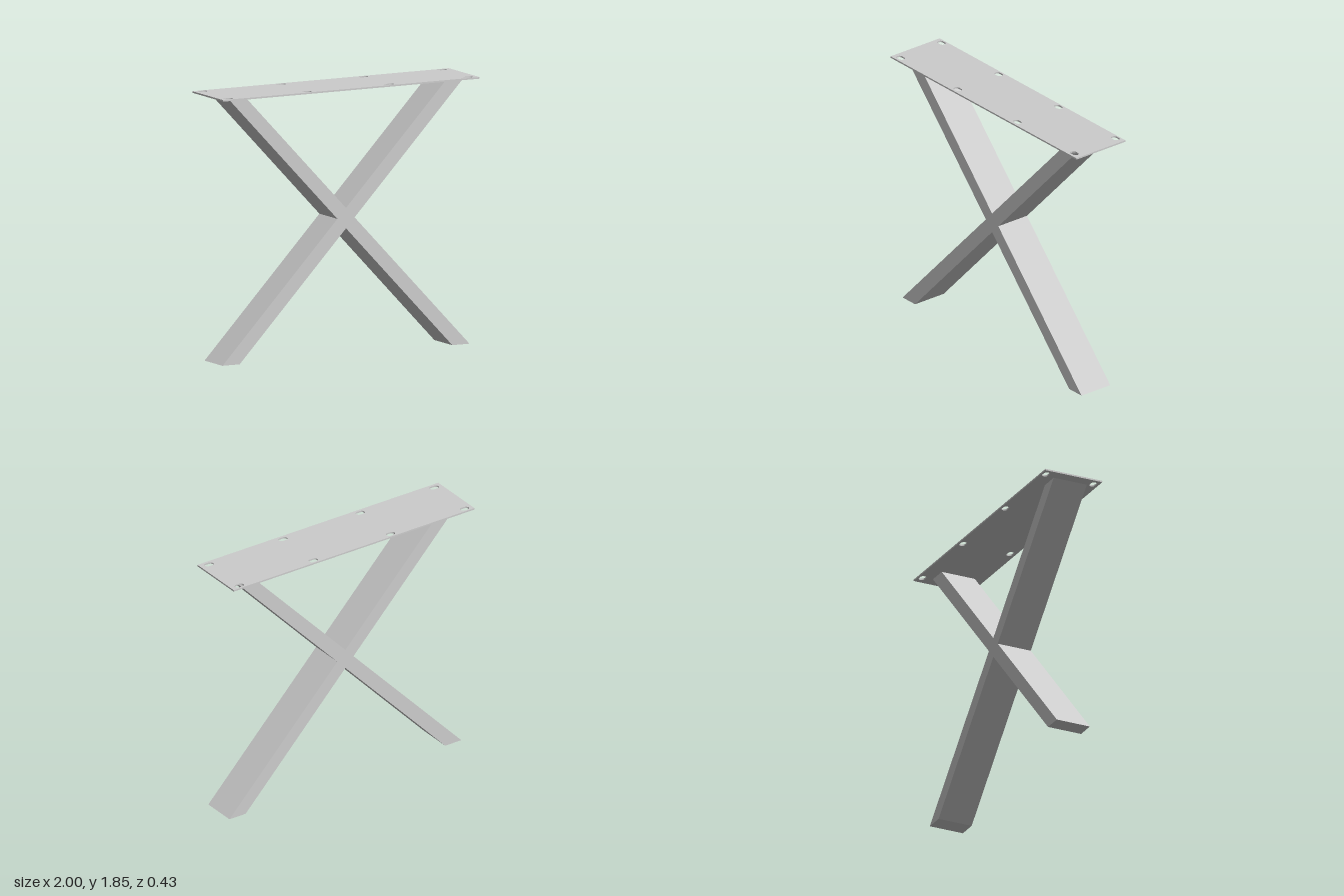
import * as THREE from 'three';

const material = new THREE.MeshStandardMaterial({ color: 0xcccccc, flatShading: true });

const HEIGHT = 1.848, PLATE = 0.011, TOP = HEIGHT - PLATE;
const OUTER = 0.963, INNER = 0.829;   // foot corners of each bar
const LEAN = 1.745;                   // sideways travel of a bar from floor to plate
const BACK = -0.112, DEPTH = 0.252;   // bar extent along z

// Bar with a four-sided outline in the xy plane
function bar(name, corners) {
  const shape = new THREE.Shape(corners.map(([x, y]) => new THREE.Vector2(x, y)));
  const geometry = new THREE.ExtrudeGeometry(shape, { depth: DEPTH, bevelEnabled: false });
  geometry.translate(0, 0, BACK);
  const mesh = new THREE.Mesh(geometry, material);
  mesh.name = name;
  return mesh;
}

// Rounded slot as a hole path
function slot(x, y, length = 0.067, width = 0.043) {
  const r = width / 2, h = length / 2 - r;
  const path = new THREE.Path();
  path.absarc(x + h, y, r, -Math.PI / 2, Math.PI / 2, false);
  path.absarc(x - h, y, r, Math.PI / 2, Math.PI * 1.5, false);
  path.closePath();
  return path;
}

// Thin mounting plate with two rows of screw slots
function mountingPlate() {
  const w = 1, d = 0.216;
  const shape = new THREE.Shape([
    new THREE.Vector2(-w, -d), new THREE.Vector2(w, -d),
    new THREE.Vector2(w, d), new THREE.Vector2(-w, d),
  ]);
  for (const x of [-0.94, -0.325, 0.316, 0.931])
    for (const y of [-0.177, 0.183]) shape.holes.push(slot(x, y));
  const geometry = new THREE.ExtrudeGeometry(shape, { depth: PLATE, bevelEnabled: false, curveSegments: 10 });
  geometry.rotateX(-Math.PI / 2).translate(0, TOP, 0);
  const mesh = new THREE.Mesh(geometry, material);
  mesh.name = 'mountingPlate';
  return mesh;
}

export function createModel() {
  const group = new THREE.Group();
  group.name = 'crossTableLeg';

  // Where the edges of the two bars cross
  const slope = TOP / LEAN;
  const side = (OUTER - INNER) / 2, midY = slope * (OUTER + INNER) / 2;
  const low = [0, slope * INNER], high = [0, slope * OUTER];

  group.add(
    mountingPlate(),
    // One bar runs through, the other is cut to meet it
    bar('throughBar', [[-OUTER, 0], [-INNER, 0], [LEAN - INNER, TOP], [LEAN - OUTER, TOP]]),
    bar('lowerCrossBar', [[INNER, 0], [OUTER, 0], [side, midY], low]),
    bar('upperCrossBar', [[-side, midY], high, [OUTER - LEAN, TOP], [INNER - LEAN, TOP]]),
  );
  return group;
}
